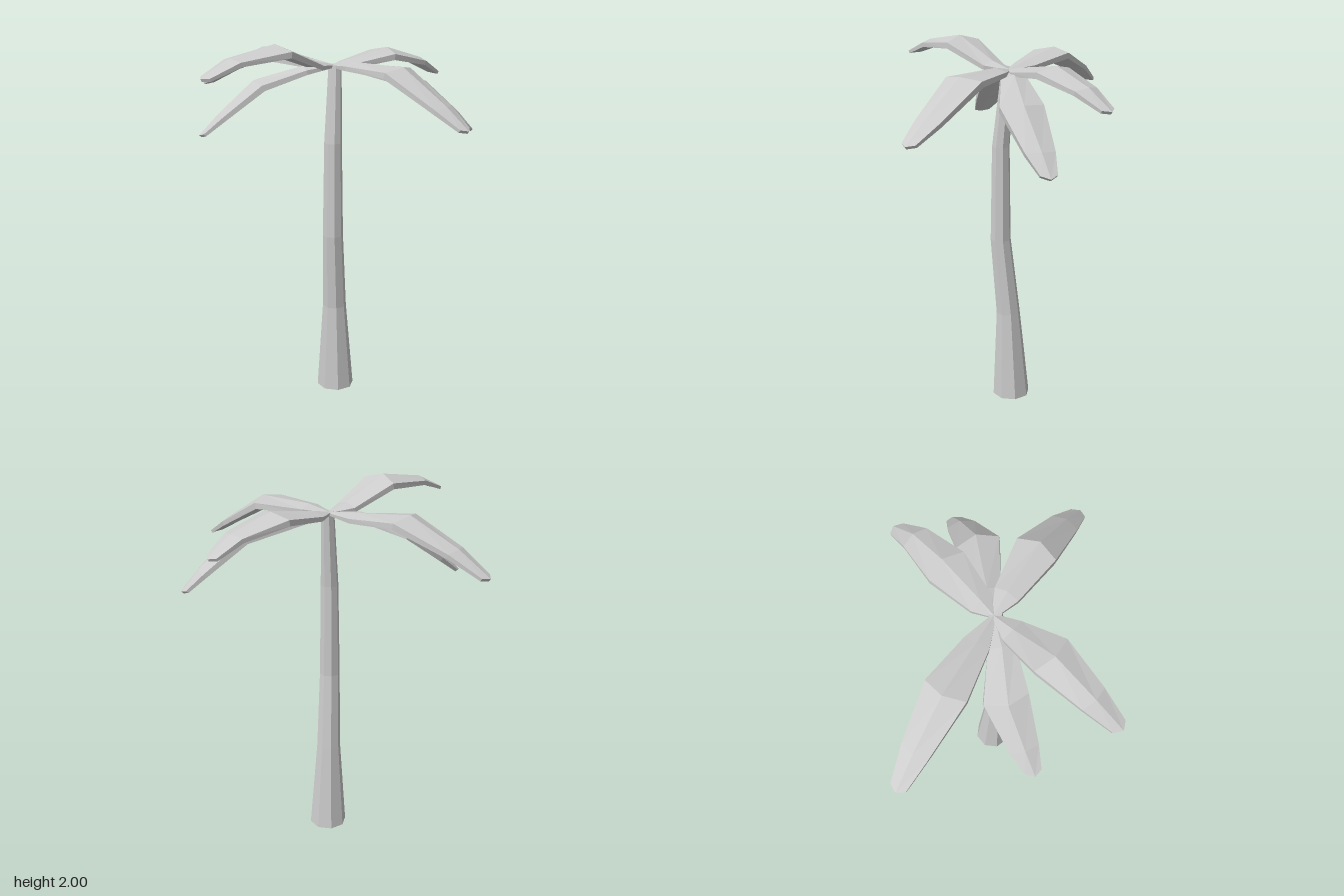
import * as THREE from 'three';

const material = new THREE.MeshStandardMaterial({ color: 0xcccccc, flatShading: true });
const vec = (x, y, z) => new THREE.Vector3(x, y, z);

// Trunk rings from the ground up: x, y, z, radius
const TRUNK = [
  [0.06, 0, 0.046, 0.103],
  [0.043, 0.5, 0.05, 0.066],
  [0.004, 0.93, 0.066, 0.056],
  [0.005, 1.45, 0.064, 0.048],
  [0.04, 1.86, 0.05, 0.035],
];

// Ridge points of each frond, outward from the crown
const CROWN = [0.04, 1.86, 0.04];
const FRONDS = {
  backFrond: [[0.04, 1.88, -0.13], [0.04, 1.915, -0.44], [0.04, 1.79, -0.71], [0.04, 1.675, -0.885]],
  frontFrond: [[0.04, 1.885, 0.17], [0.03, 1.885, 0.478], [0.012, 1.72, 0.74], [-0.005, 1.62, 0.875]],
  rightFrond: [[-0.08, 1.89, 0.01], [-0.33, 1.998, -0.055], [-0.58, 1.95, -0.132], [-0.747, 1.868, -0.172]],
  leftFrond: [[0.13, 1.88, 0.07], [0.385, 1.922, 0.15], [0.6, 1.85, 0.23], [0.742, 1.755, 0.262]],
  frontLeftFrond: [[0.14, 1.855, 0.15], [0.355, 1.77, 0.415], [0.52, 1.59, 0.53], [0.6, 1.485, 0.582]],
  backRightFrond: [[-0.07, 1.855, -0.08], [-0.225, 1.775, -0.295], [-0.38, 1.61, -0.405], [-0.468, 1.505, -0.462]],
};

// Frond section at each ridge point
const HALF_WIDTH = [0.012, 0.066, 0.11, 0.074, 0.042];
const DROP = [0.004, 0.016, 0.026, 0.018, 0.008];
const LAG = [0, 0.01, 0.03, 0.01, 0.025];
const THICKNESS = [0.012, 0.024, 0.032, 0.024, 0.016];

function createTrunk() {
  const rows = TRUNK.length - 1;
  const geometry = new THREE.CylinderGeometry(1, 1, 1, 8, rows);
  const pos = geometry.attributes.position;
  for (let i = 0; i < pos.count; i++) {
    const [x, y, z, r] = TRUNK[Math.round((pos.getY(i) + 0.5) * rows)];
    pos.setXYZ(i, x + pos.getX(i) * r, y, z + pos.getZ(i) * r);
  }
  geometry.computeVertexNormals();
  return new THREE.Mesh(geometry, material);
}

// Six-point roof-shaped sections swept along the ridge
function createFrond(points) {
  const ridge = [CROWN, ...points].map((p) => vec(...p));
  const last = ridge.length - 1;
  const side = ridge[last].clone().sub(ridge[0]).cross(vec(0, 1, 0)).normalize();

  const rings = ridge.map((p, i) => {
    const before = p.clone().sub(ridge[Math.max(i - 1, 0)]).normalize();
    const after = ridge[Math.min(i + 1, last)].clone().sub(p).normalize();
    const along = before.add(after).normalize();
    const up = side.clone().cross(along).normalize();
    const edge = (s) => p.clone().addScaledVector(side, s * HALF_WIDTH[i])
      .addScaledVector(up, -DROP[i]).addScaledVector(along, -LAG[i]);
    const top = [edge(-1), p, edge(1)];
    const bottom = top.map((v) => v.clone().addScaledVector(up, -THICKNESS[i])).reverse();
    return [...top, ...bottom];
  });

  const verts = [];
  const quad = (a, b, c, d) => [a, b, c, a, c, d].forEach((v) => verts.push(v.x, v.y, v.z));
  for (let i = 0; i < last; i++) {
    for (let j = 0; j < 6; j++) {
      const k = (j + 1) % 6;
      quad(rings[i][j], rings[i][k], rings[i + 1][k], rings[i + 1][j]);
    }
  }
  // Caps at the tip and the crown
  for (const [a, b, c, d] of [[0, 1, 4, 5], [1, 2, 3, 4]]) {
    const tip = rings[last], root = rings[0];
    quad(tip[a], tip[b], tip[c], tip[d]);
    quad(root[d], root[c], root[b], root[a]);
  }

  const geometry = new THREE.BufferGeometry();
  geometry.setAttribute('position', new THREE.Float32BufferAttribute(verts, 3));
  geometry.computeVertexNormals();
  return new THREE.Mesh(geometry, material);
}

export function createModel() {
  const palm = new THREE.Group();
  palm.name = 'palmTree';

  const trunk = createTrunk();
  trunk.name = 'trunk';
  palm.add(trunk);

  const crown = new THREE.Group();
  crown.name = 'crown';
  for (const [name, points] of Object.entries(FRONDS)) {
    const frond = createFrond(points);
    frond.name = name;
    crown.add(frond);
  }
  palm.add(crown);
  return palm;
}
